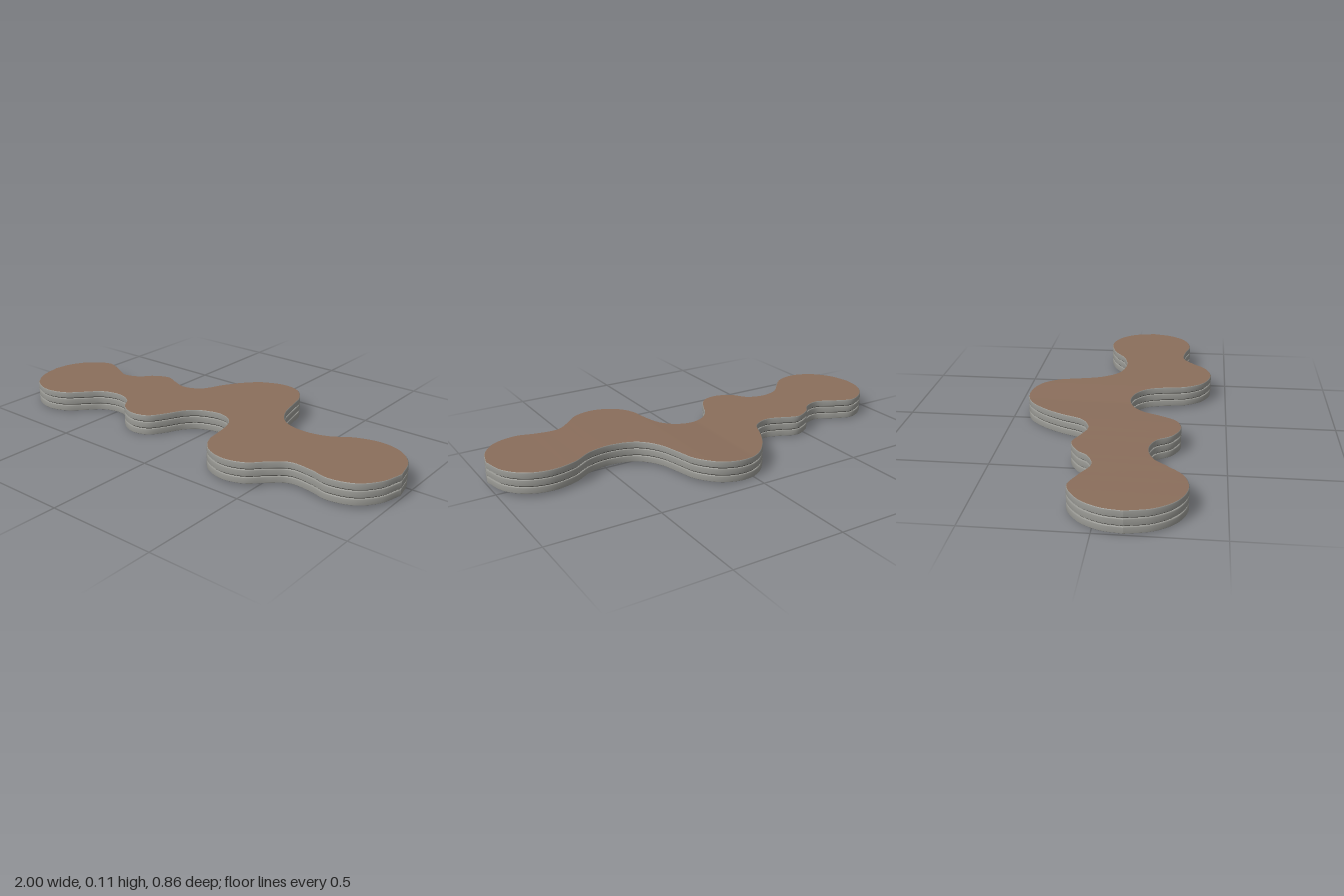
import * as THREE from 'three';

const N = 240; // stations along x
const M = 2 * N; // points around the outline

// Back and front edges of the blob outline, as (x, z) pairs from -x to +x
const backEdge = [[-1, 0.12], [-0.985, 0.03], [-0.93, -0.06], [-0.83, -0.115], [-0.74, -0.085], [-0.65, -0.045],
  [-0.575, -0.07], [-0.53, -0.12], [-0.45, -0.155], [-0.37, -0.125], [-0.3, -0.105], [-0.22, -0.14], [-0.17, -0.24],
  [-0.11, -0.335], [-0.03, -0.41], [0.07, -0.435], [0.17, -0.405], [0.24, -0.32], [0.265, -0.22], [0.295, -0.12],
  [0.36, -0.04], [0.47, -0.01], [0.58, -0.03], [0.68, -0.09], [0.8, -0.115], [0.9, -0.085], [0.97, -0.01], [1, 0.1]];
const frontEdge = [[-1, 0.12], [-0.97, 0.23], [-0.9, 0.315], [-0.8, 0.35], [-0.7, 0.325], [-0.63, 0.26], [-0.57, 0.2],
  [-0.48, 0.175], [-0.4, 0.2], [-0.35, 0.265], [-0.27, 0.3], [-0.19, 0.28], [-0.14, 0.21], [-0.1, 0.13], [-0.05, 0.08],
  [0.03, 0.055], [0.1, 0.07], [0.155, 0.12], [0.185, 0.22], [0.2, 0.31], [0.26, 0.39], [0.36, 0.425], [0.46, 0.4],
  [0.53, 0.335], [0.6, 0.285], [0.7, 0.29], [0.79, 0.31], [0.9, 0.28], [0.97, 0.2], [1, 0.1]];

// Resample an edge at stations that crowd towards both ends
function resample(edge) {
  const pts = new THREE.CatmullRomCurve3(edge.map(([x, z]) => new THREE.Vector3(x, 0, z)), false, 'centripetal').getPoints(1500);
  const out = [];
  let j = 0;
  for (let i = 0; i <= N; i++) {
    const x = -Math.cos(Math.PI * i / N);
    while (j < pts.length - 2 && pts[j + 1].x < x) j++;
    const a = pts[j], b = pts[j + 1];
    const t = THREE.MathUtils.clamp((x - a.x) / (b.x - a.x || 1), 0, 1);
    out.push([x, a.z + (b.z - a.z) * t]);
  }
  return out;
}

// Gentle lift of the deck along x
function lift(x) {
  const steps = [[-1, 0.004], [-0.2, 0.002], [0, 0], [0.2, 0.01], [1, 0.013]];
  let i = 0;
  while (i < steps.length - 2 && x > steps[i + 1][0]) i++;
  const [x0, y0] = steps[i], [x1, y1] = steps[i + 1];
  return y0 + (y1 - y0) * (x - x0) / (x1 - x0);
}

// Ring of points: the outline moved inwards and set at a height
function ring(outline, inset, y) {
  const out = [];
  for (let k = 0; k < M; k++) {
    const [x, z] = outline[k];
    const p = outline[(k + M - 1) % M], q = outline[(k + 1) % M];
    const dx = q[0] - p[0], dz = q[1] - p[1], len = Math.hypot(dx, dz) || 1;
    out.push(x - dz / len * inset, y + lift(x), z + dx / len * inset);
  }
  return out;
}

function toGeometry(positions, index) {
  const g = new THREE.BufferGeometry();
  g.setAttribute('position', new THREE.Float32BufferAttribute(positions, 3));
  g.setIndex(index);
  g.computeVertexNormals();
  return g;
}

// Side wall swept through a profile of [inset, y]
function wall(outline, profile) {
  const index = [];
  for (let r = 0; r < profile.length - 1; r++) {
    for (let k = 0; k < M; k++) {
      const a = r * M + k, b = r * M + (k + 1) % M;
      index.push(a, a + M, b, b, a + M, b + M);
    }
  }
  return toGeometry(profile.flatMap(([inset, y]) => ring(outline, inset, y)), index);
}

// Flat face made of strips running from back edge to front edge
function cap(outline, inset, y, up) {
  const index = [];
  for (let i = 0; i < N; i++) {
    const u0 = i, u1 = i + 1, l0 = (M - i) % M, l1 = M - i - 1;
    const tris = [];
    if (l0 !== u0) tris.push([u0, l0, u1]);
    if (l1 !== u1) tris.push([u1, l0, l1]);
    for (const [a, b, c] of tris) index.push(...(up ? [a, b, c] : [a, c, b]));
  }
  return toGeometry(ring(outline, inset, y), index);
}

export function createModel() {
  const group = new THREE.Group();
  group.name = 'blobDeck';
  const material = (name, color) => {
    const m = new THREE.MeshStandardMaterial({ color });
    m.name = name;
    return m;
  };
  const wood = material('brown wood', 0x8a6e5b);
  const grey = material('grey edging', 0x999994);
  const dark = material('dark gap', 0x34322e);
  const add = (name, geometry, mat) => {
    const mesh = new THREE.Mesh(geometry, mat);
    mesh.name = name;
    group.add(mesh);
  };

  const outline = [...resample(backEdge), ...resample(frontEdge).slice(1, N).reverse()];

  // Three stacked boards with softened edges
  const height = 0.029, pitch = 0.0335, soft = 0.003;
  ['lower', 'middle', 'upper'].forEach((level, i) => {
    const y0 = i * pitch, y1 = y0 + height;
    const profile = [[soft, y0], [0, y0 + soft], [0, y1 - soft], [soft, y1]];
    add(level + 'BoardEdge', wall(outline, profile), grey);
    add(level + 'BoardTop', cap(outline, soft, y1, true), i === 2 ? wood : grey);
    add(level + 'BoardUnderside', cap(outline, soft, y0, false), i === 0 ? wood : grey);
  });

  // Recessed core seen in the gaps between boards
  add('gapCore', wall(outline, [[0.008, height - 0.004], [0.008, 2 * pitch + 0.004]]), dark);
  return group;
}
